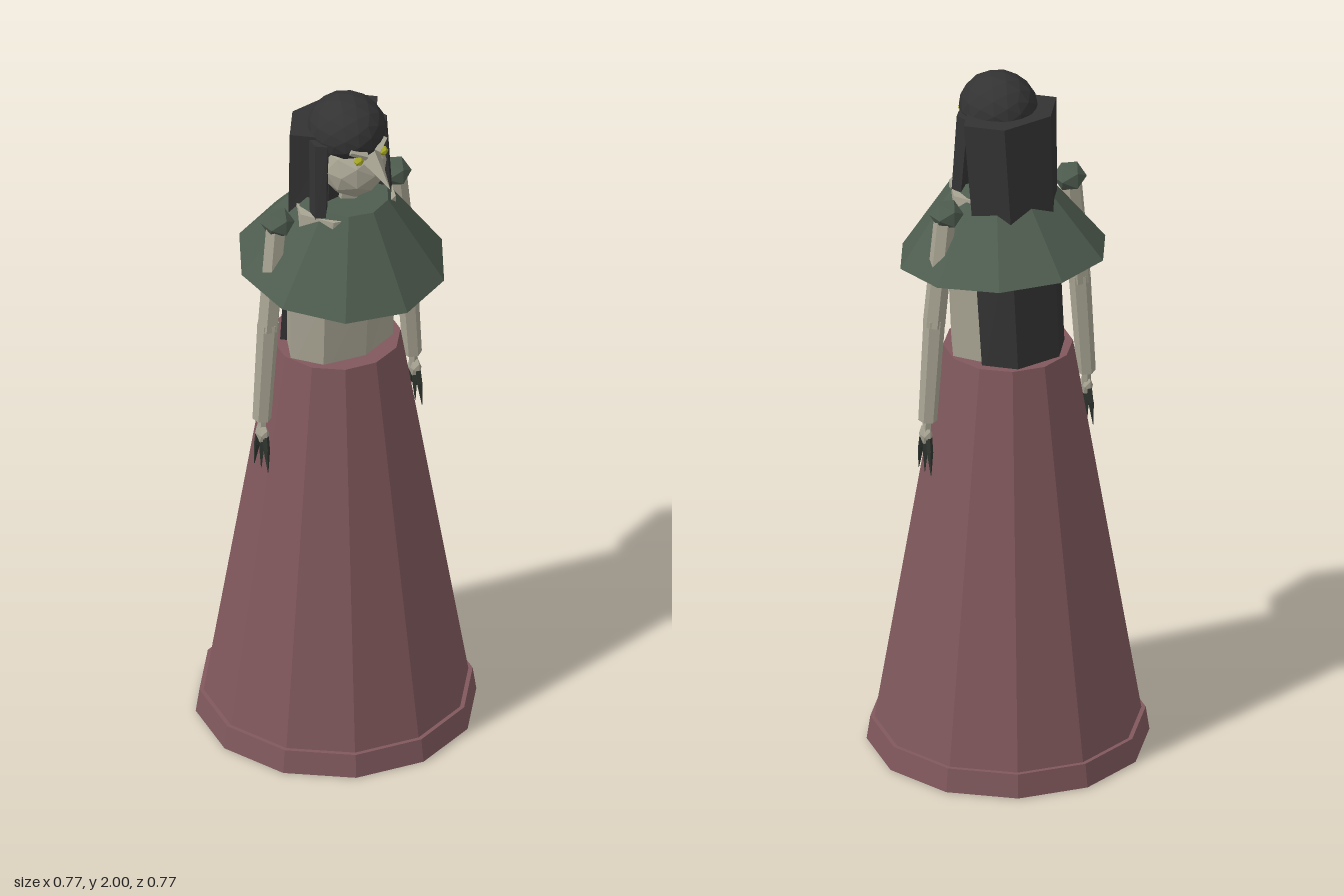
import * as THREE from 'three';

const mat = (name, color) => {
  const m = new THREE.MeshStandardMaterial({ color, flatShading: true });
  m.name = name;
  return m;
};

// Solid through horizontal rings, bottom to top: [y, centreX, centreZ, radiusX, radiusZ]
function loft(rings, sides, phase = 0) {
  const last = rings.length - 1;
  const g = new THREE.CylinderGeometry(1, 1, 1, sides, last, false, phase);
  const p = g.attributes.position;
  for (let i = 0; i < p.count; i++) {
    const [y, cx, cz, rx, rz] = rings[Math.round((p.getY(i) + 0.5) * last)];
    p.setXYZ(i, cx + p.getX(i) * rx, y, cz + p.getZ(i) * rz);
  }
  g.computeVertexNormals();
  return g;
}

// Tapered rod from point a to point b
function rod(a, b, ra, rb, sides) {
  const va = new THREE.Vector3(...a), vb = new THREE.Vector3(...b);
  const dir = vb.clone().sub(va);
  const g = new THREE.CylinderGeometry(rb, ra, dir.length(), sides);
  g.applyQuaternion(new THREE.Quaternion().setFromUnitVectors(new THREE.Vector3(0, 1, 0), dir.normalize()));
  const mid = va.add(vb).multiplyScalar(0.5);
  return g.translate(mid.x, mid.y, mid.z);
}

// Faceted ball
function ball(c, rx, ry, rz, detail) {
  return new THREE.IcosahedronGeometry(1, detail).scale(rx, ry, rz).translate(...c);
}

export function createModel() {
  const model = new THREE.Group();
  model.name = 'robedFigure';
  const skirtRed = mat('dusty red cloth', 0x80585c);
  const green = mat('dark green cloth', 0x4f5d50);
  const skin = mat('pale grey skin', 0xa9a594);
  const hair = mat('black hair', 0x333333);
  const claw = mat('dark claw', 0x30352f);
  const yellow = mat('yellow eye', 0xa8aa25);

  const add = (name, geometry, material, parent = model) => {
    const m = new THREE.Mesh(geometry, material);
    m.name = name;
    parent.add(m);
    return m;
  };

  // Skirt and hem
  add('skirt', loft([[0.01, 0, 0, 0.373, 0.373], [1.2, 0, 0, 0.177, 0.177]], 12), skirtRed);
  add('hem', loft([[0.002, 0, 0, 0.385, 0.385], [0.07, 0, 0, 0.375, 0.375]], 12), skirtRed);

  // Body leaning slightly forward, with the neck
  add('torso', loft([
    [1.15, 0, 0.015, 0.168, 0.113],
    [1.43, 0, 0.022, 0.174, 0.123],
    [1.675, 0, 0.038, 0.152, 0.125],
  ], 8), skin);
  add('neck', rod([0, 1.64, 0.04], [0, 1.77, 0.06], 0.045, 0.038, 6), skin);

  // Cape, higher at the back
  const cape = add('cape', new THREE.CylinderGeometry(0.116, 0.29, 0.233, 10).translate(0, 0.1165, 0), green);
  cape.position.set(0, 1.465, 0.025);
  cape.rotation.x = 0.104;

  // Head and beak
  add('head', ball([0, 1.805, 0.07], 0.092, 0.1, 0.1, 1), skin);
  add('beak', rod([0, 1.862, 0.15], [0, 1.8, 0.237], 0.034, 0.001, 4), skin);

  // Hair: cap with a cut-off underside, and a long slab down the back
  const cap = new THREE.IcosahedronGeometry(1, 2);
  const cp = cap.attributes.position;
  for (let i = 0; i < cp.count; i++) cp.setY(i, Math.max(cp.getY(i), -0.5));
  add('hairCap', cap.scale(0.106, 0.095, 0.112).translate(0, 1.905, 0.047), hair);
  add('backHair', loft([
    [1.15, 0, -0.078, 0.135, 0.086],
    [1.64, 0, -0.031, 0.14, 0.097],
    [1.91, 0, -0.01, 0.152, 0.098],
  ], 6, Math.PI / 2), hair);

  // Mirrored parts
  for (const s of [1, -1]) {
    const side = s > 0 ? 'left' : 'right';
    add(side + 'Eye', ball([s * 0.042, 1.865, 0.154], 0.015, 0.014, 0.014, 0), yellow);
    add(side + 'Brow', rod([s * 0.018, 1.872, 0.158], [s * 0.06, 1.892, 0.14], 0.012, 0.008, 4), skin);
    add(side + 'HairLock', loft([
      [1.67, s * 0.112, 0.068, 0.022, 0.03],
      [1.9, s * 0.1, 0.055, 0.025, 0.035],
    ], 5), hair);

    // Arm with shoulder cap
    const arm = new THREE.Group();
    arm.name = side + 'Arm';
    model.add(arm);
    add('shoulderCap', ball([s * 0.202, 1.65, 0], 0.047, 0.043, 0.047, 0), green, arm);
    add('upperArm', rod([s * 0.205, 1.66, 0], [s * 0.24, 1.32, 0.005], 0.03, 0.031, 6), skin, arm);
    add('forearm', rod([s * 0.238, 1.34, 0.005], [s * 0.26, 1.035, 0.005], 0.03, 0.026, 6), skin, arm);
    add('wrist', rod([s * 0.259, 1.05, 0.005], [s * 0.262, 0.99, 0.008], 0.013, 0.013, 5), skin, arm);
    add('palm', ball([s * 0.263, 0.99, 0.01], 0.016, 0.032, 0.026, 0), skin, arm);
    for (const k of [-1, 0, 1]) {
      const z = 0.01 + k * 0.016;
      const knuckle = [s * 0.264, 0.945, z + k * 0.006];
      add('finger', rod([s * 0.263, 0.985, z], knuckle, 0.009, 0.009, 4), claw, arm);
      add('claw', rod(knuckle, [s * 0.266, 0.878, z + k * 0.014], 0.009, 0.001, 4), claw, arm);
    }

    // Toe of the shoe just showing under the hem
    add(side + 'Shoe', loft([
      [0, s * 0.1, 0.235, 0.032, 0.05],
      [0.05, s * 0.1, 0.225, 0.025, 0.04],
    ], 6), green);
  }
  return model;
}
